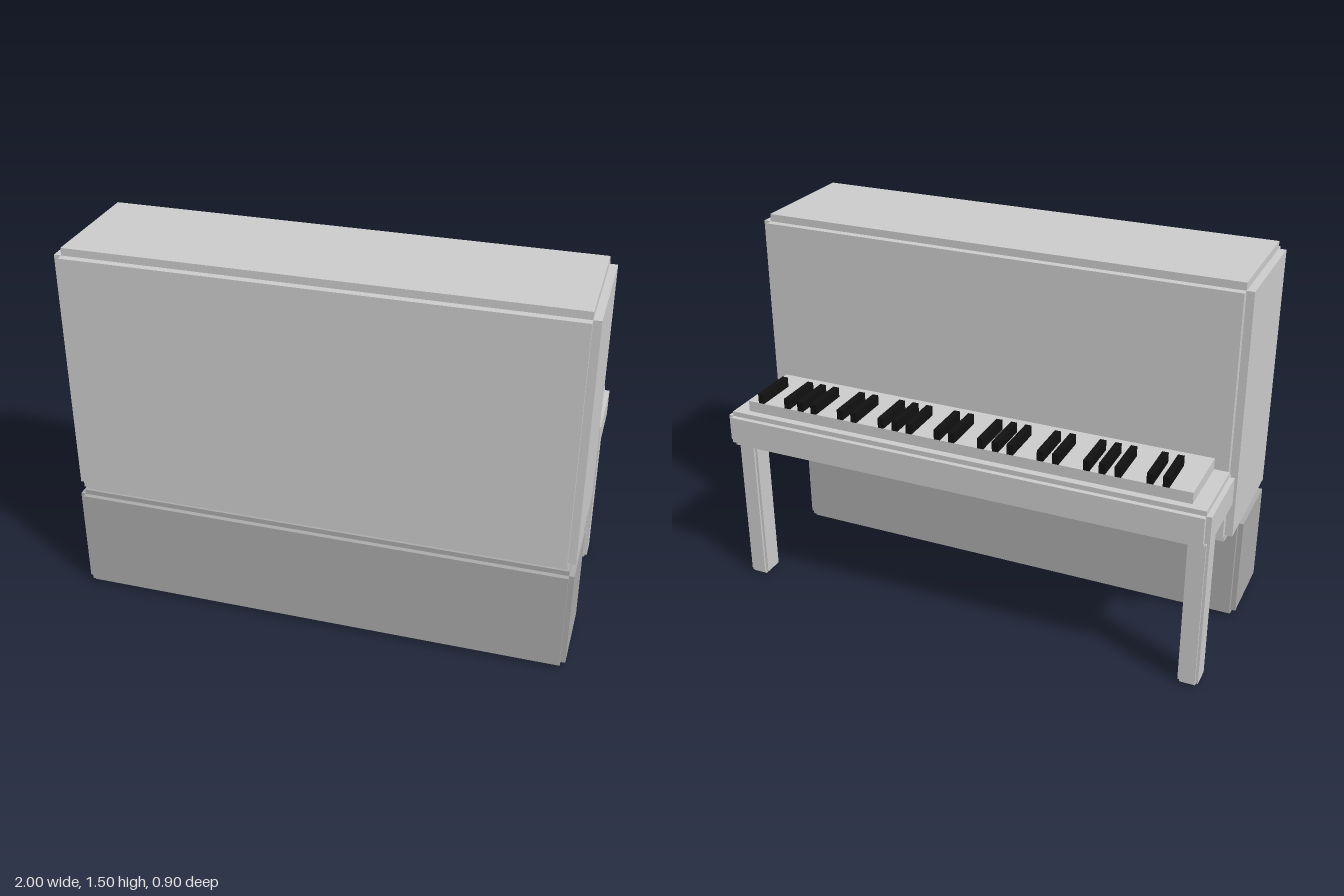
import * as THREE from 'three';

const grey = new THREE.MeshStandardMaterial({ color: 0xcccccc, flatShading: true });
const darkGrey = new THREE.MeshStandardMaterial({ color: 0xaaaaaa, flatShading: true });
const black = new THREE.MeshStandardMaterial({ color: 0x111111, flatShading: true });

// Plain box given by its min and max corners
function box(name, [x0, y0, z0], [x1, y1, z1], material) {
  const mesh = new THREE.Mesh(new THREE.BoxGeometry(x1 - x0, y1 - y0, z1 - z0), material);
  mesh.position.set((x0 + x1) / 2, (y0 + y1) / 2, (z0 + z1) / 2);
  mesh.name = name;
  return mesh;
}

// Box with a square step of size s cut along every edge:
// three crossing boxes, each full length along one axis only
function steppedBox(name, min, max, s, material) {
  const group = new THREE.Group();
  group.name = name;
  ['Width', 'Height', 'Depth'].forEach((label, axis) => {
    const lo = min.map((v, i) => (i === axis ? v : v + s));
    const hi = max.map((v, i) => (i === axis ? v : v - s));
    group.add(box(name + label, lo, hi, material));
  });
  return group;
}

export function createModel() {
  const piano = new THREE.Group();
  piano.name = 'uprightPiano';

  // Case: tall upper body on a shallower base
  piano.add(steppedBox('upperCase', [-1, 0.45, -0.1], [1, 1.5, 0.45], 0.03, grey));
  piano.add(steppedBox('lowerCase', [-1, 0, 0.1], [1, 0.45, 0.45], 0.02, darkGrey));

  // Keyboard shelf and the slab of white keys
  piano.add(steppedBox('keyShelf', [-1, 0.63, -0.45], [1, 0.78, -0.1], 0.02, grey));
  piano.add(box('whiteKeys', [-0.92, 0.78, -0.4], [0.92, 0.825, -0.12], grey));

  // Black keys in groups of two and three
  const blackKeys = new THREE.Group();
  blackKeys.name = 'blackKeys';
  for (let n = 0; n <= 28; n++) {
    if (n % 7 === 2 || n % 7 === 6) continue;
    const x = -0.82 + n * 0.06;
    blackKeys.add(box('blackKey', [x - 0.0125, 0.825, -0.4], [x + 0.0125, 0.866, -0.22], black));
  }
  piano.add(blackKeys);

  // Legs under the shelf
  for (const [name, x] of [['leftLeg', 0.95], ['rightLeg', -0.95]]) {
    piano.add(steppedBox(name, [x - 0.04, 0, -0.4], [x + 0.04, 0.635, -0.3], 0.01, grey));
  }

  return piano;
}
